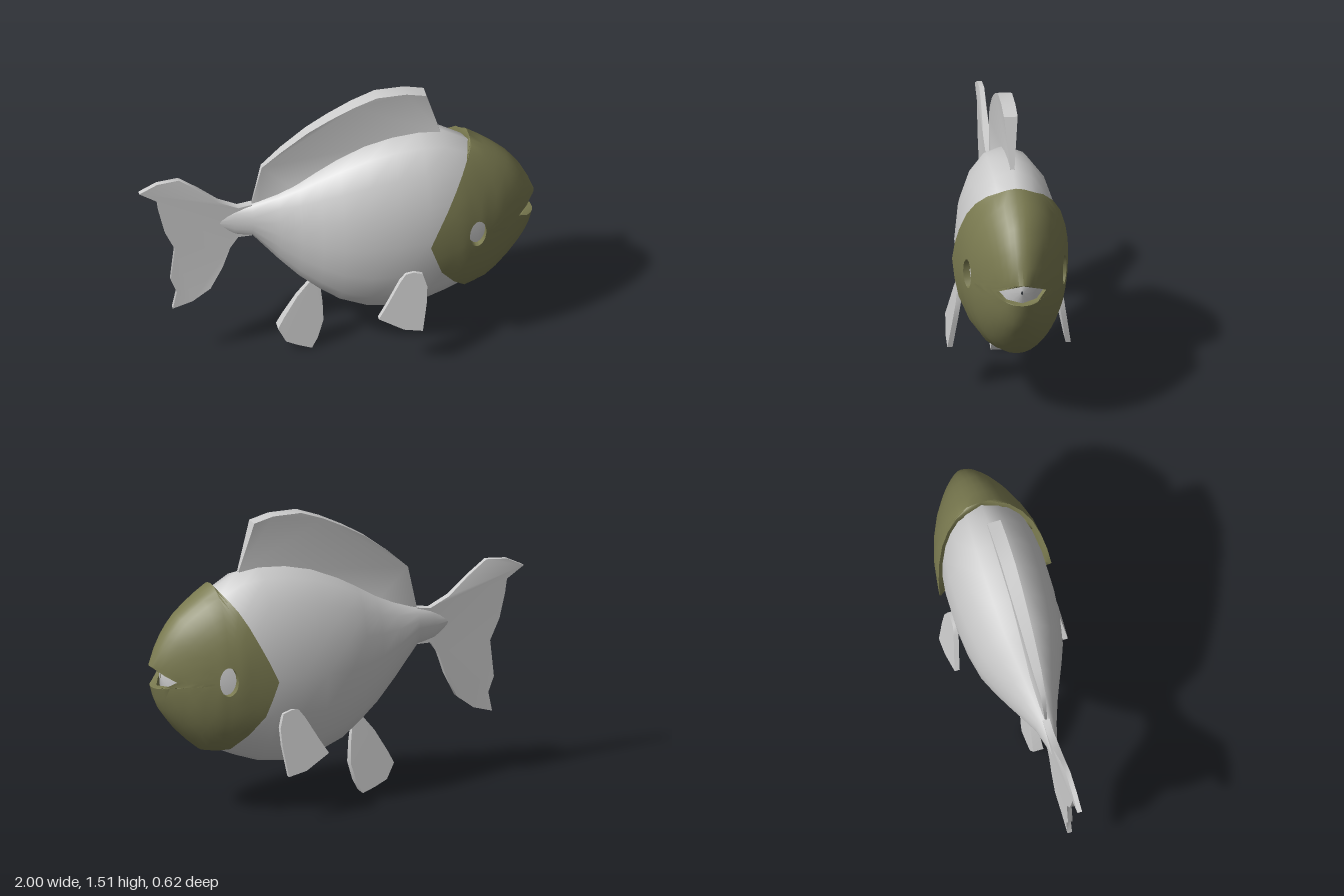
import * as THREE from 'three';
import { mergeGeometries, toCreasedNormals } from 'three/addons/utils/BufferGeometryUtils.js';

const grey = new THREE.MeshStandardMaterial({ color: 0xcccccc });
const olive = new THREE.MeshStandardMaterial({ color: 0x7a7a50, side: THREE.DoubleSide });

// Piecewise-linear lookup in a list of [x, value] pairs
function lookup(table, x) {
  if (x <= table[0][0]) return table[0][1];
  for (let i = 1; i < table.length; i++) {
    const [x0, a] = table[i - 1], [x1, b] = table[i];
    if (x <= x1) return a + (b - a) * (x - x0) / (x1 - x0);
  }
  return table[table.length - 1][1];
}

// Skin over closed rings of [x, y, z] points
function skin(rings) {
  const n = rings[0].length, index = [];
  for (let r = 0; r < rings.length - 1; r++) {
    for (let j = 0; j < n; j++) {
      const k = (j + 1) % n, a = r * n + j, b = r * n + k;
      index.push(a, a + n, b + n, a, b + n, b);
    }
  }
  const g = new THREE.BufferGeometry();
  g.setAttribute('position', new THREE.Float32BufferAttribute(rings.flat(2), 3));
  g.setIndex(index);
  g.computeVertexNormals();
  return g;
}

function part(name, geometry, material = grey) {
  const mesh = new THREE.Mesh(geometry, material);
  mesh.name = name;
  return mesh;
}

// Flat fin from a side outline, with varying half thickness and centre in z
function fin(name, outline, half, centre = () => 0) {
  const shape = new THREE.Shape(outline.map(([x, y]) => new THREE.Vector2(x, y)));
  const g = new THREE.ExtrudeGeometry(shape, { depth: 2, bevelEnabled: false });
  const p = g.attributes.position;
  for (let i = 0; i < p.count; i++) {
    const x = p.getX(i), y = p.getY(i);
    p.setZ(i, centre(x, y) + (p.getZ(i) - 1) * half(x, y));
  }
  return part(name, toCreasedNormals(g, 0.8));
}

// Body: oval sections along x, as [x, bottom, top, half width]
function body() {
  const stations = [
    [-0.62, 0.82, 0.86, 0.012], [-0.52, 0.75, 0.91, 0.03], [-0.43, 0.74, 0.93, 0.055],
    [-0.3, 0.575, 0.98, 0.1], [-0.2, 0.46, 1.03, 0.14], [-0.1, 0.37, 1.09, 0.182],
    [0, 0.295, 1.145, 0.22], [0.14, 0.235, 1.205, 0.247], [0.28, 0.218, 1.24, 0.26],
    [0.42, 0.235, 1.25, 0.26], [0.54, 0.278, 1.232, 0.245], [0.67, 0.335, 1.155, 0.215],
    [0.78, 0.41, 1.06, 0.17], [0.86, 0.5, 0.97, 0.12], [0.92, 0.61, 0.86, 0.065],
    [0.94, 0.73, 0.75, 0.005],
  ];
  const sides = 16;
  return part('body', skin(stations.map(([x, lo, hi, w]) =>
    Array.from({ length: sides }, (_, j) => {
      const a = -j / sides * Math.PI * 2;
      return [x, (lo + hi) / 2 + Math.cos(a) * (hi - lo) / 2, Math.sin(a) * w];
    }))));
}

// Mask: each half spreads from the eye hole to the outline with its mouth notch
function mask() {
  const top = [[0.67, 1.19], [0.74, 1.145], [0.8, 1.1], [0.86, 1.05], [0.9, 1.0],
    [0.935, 0.95], [0.97, 0.88], [1, 0.8]];
  const bottom = [[0.735, 0.335], [0.8, 0.39], [0.87, 0.46], [0.915, 0.52],
    [0.95, 0.57], [0.975, 0.63], [0.99, 0.69]];
  const rim = [[0.635, 1.14], [0.6, 1.09], [0.56, 1.02], [0.51, 0.92], [0.465, 0.83],
    [0.42, 0.73], [0.45, 0.64], [0.48, 0.55], [0.55, 0.45], [0.62, 0.36], [0.675, 0.345]];
  const outline = [[0.9, 0.737], [0.95, 0.765], ...[...top].reverse(), ...rim, ...bottom, [0.95, 0.7]];
  const upper = [[0.42, 1.27], [0.56, 1.255], ...top];
  const lower = [[0.42, 0.21], [0.5, 0.24], [0.6, 0.285], ...bottom];
  const width = [[0.42, 0.29], [0.5, 0.28], [0.6, 0.265], [0.7, 0.235], [0.8, 0.19],
    [0.9, 0.125], [0.96, 0.075], [1, 0.03]];

  const surface = (x, y) => {
    const hi = lookup(upper, x), lo = lookup(lower, x);
    const s = Math.min(1, Math.abs(2 * y - hi - lo) / (hi - lo));
    const z = lookup(width, x) * Math.sqrt(1 - s ** 2.15);
    return [x, y, z < 0.002 ? 0 : z];
  };
  const cx = 0.668, cy = 0.745;
  const rings = [0, 0.08, 0.2, 0.35, 0.5, 0.65, 0.78, 0.88, 0.95, 0.985, 1].map(t =>
    outline.map(([x, y]) => {
      const a = Math.atan2(y - cy, x - cx);
      const ex = cx + 0.045 * Math.cos(a), ey = cy + 0.075 * Math.sin(a);
      return surface(ex + (x - ex) * t, ey + (y - ey) * t);
    }));
  // Thickness shown at the eye hole and around the outer edge
  rings.unshift(rings[0].map(([x, y, z]) => [x, y, z - 0.035]));
  rings.push(rings[rings.length - 1].map(([x, y, z]) =>
    [0.62 + (x - 0.62) * 0.92, 0.74 + (y - 0.74) * 0.92, z * 0.92]));
  const mirrored = rings.map(r => r.map(([x, y, z]) => [x, y, -z]).reverse());
  return part('mask', toCreasedNormals(mergeGeometries([skin(rings), skin(mirrored)]), 0.85), olive);
}

export function createModel() {
  const fish = new THREE.Group();
  fish.name = 'fish';
  fish.add(body(), mask());

  fish.add(fin('dorsalFin', [
    [-0.43, 0.93], [-0.38, 1.15], [-0.28, 1.24], [-0.15, 1.34], [-0.04, 1.405], [0.08, 1.465],
    [0.2, 1.51], [0.35, 1.51], [0.45, 1.485], [0.525, 1.235], [0.45, 1.15], [0.1, 1.08],
    [-0.2, 0.98], [-0.4, 0.88],
  ], (x, y) => THREE.MathUtils.clamp(0.02 + (y - 1.2) * 0.05, 0.02, 0.035)
    * THREE.MathUtils.clamp(Math.min((x + 0.46) / 0.12, (0.57 - x) / 0.1), 0.3, 1)));

  fish.add(fin('tailFin', [
    [-0.43, 0.93], [-0.5, 0.92], [-0.6, 0.97], [-0.7, 1.06], [-0.8, 1.135], [-0.91, 1.125],
    [-1, 1.08], [-0.91, 1.02], [-0.9, 0.95], [-0.87, 0.82], [-0.82, 0.71], [-0.84, 0.52],
    [-0.81, 0.44], [-0.83, 0.34], [-0.73, 0.37], [-0.64, 0.44], [-0.58, 0.56], [-0.54, 0.68],
    [-0.5, 0.74], [-0.43, 0.74],
  ], x => (x > -0.65 ? 0.018 : 0.012)));

  fish.add(fin('analFin', [
    [-0.12, 0.42], [-0.2, 0.32], [-0.27, 0.2], [-0.3, 0.14], [-0.26, 0.06], [-0.2, 0.03],
    [-0.13, 0.003], [-0.1, 0.06], [-0.07, 0.16], [-0.073, 0.27], [-0.085, 0.38],
  ], (x, y) => 0.035 - Math.min(y, 0.4) * 0.06));

  const pectoral = [
    [0.27, 0.52], [0.3, 0.56], [0.34, 0.566], [0.385, 0.55], [0.405, 0.48], [0.4, 0.39],
    [0.375, 0.235], [0.28, 0.255], [0.155, 0.33], [0.2, 0.4],
  ];
  for (const [name, s] of [['rightPectoralFin', -1], ['leftPectoralFin', 1]]) {
    fish.add(fin(name, pectoral, () => 0.013, (x, y) => s * (0.244 + (0.566 - y) * 0.155)));
  }
  return fish;
}
